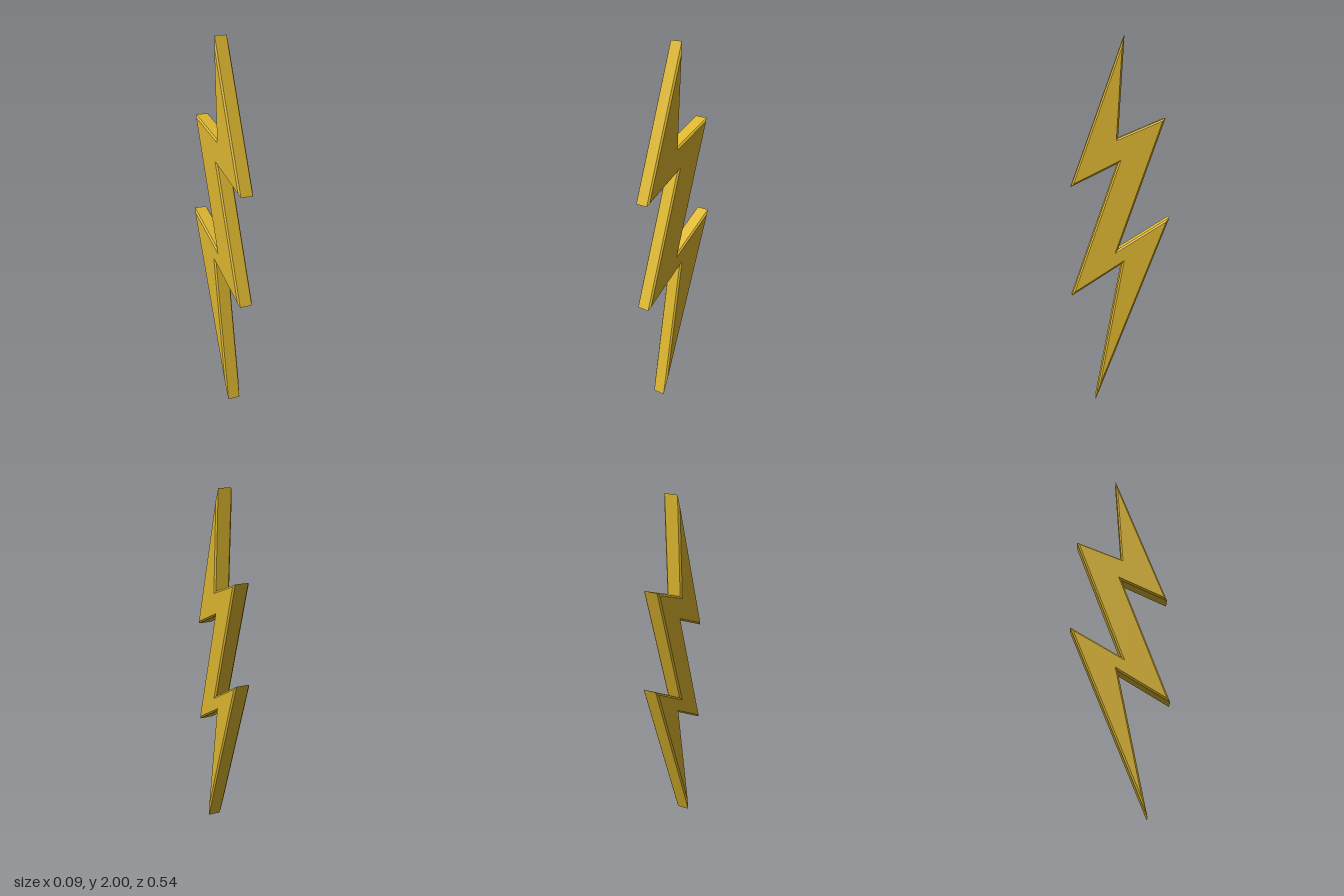
import * as THREE from 'three';

// Bolt outline, counter-clockwise as seen from +x: [-z, y]
const OUTLINE = [
  [0.021, 2], [-0.268, 1.2], [-0.013, 1.325], [-0.268, 0.6], [0.008, 0.775],
  [-0.14, 0], [0.268, 1.027], [-0.013, 0.855], [0.242, 1.567], [-0.013, 1.46],
].map(([u, v]) => new THREE.Vector2(u, v));

const BEVEL = 0.009;        // width of the chamfer on the flat sides
const RIM_X = 0.035;        // half thickness at the outline
const FACE_X = 0.043;       // half thickness at the flat sides

// Shrink the outline by a constant distance with full mitred corners
function inset(points, distance) {
  const n = points.length;
  const normal = (a, b) => new THREE.Vector2(a.y - b.y, b.x - a.x).normalize();
  return points.map((p, i) => {
    const n1 = normal(points[(i + n - 1) % n], p);
    const n2 = normal(p, points[(i + 1) % n]);
    const k = distance / (1 + n1.dot(n2));
    return p.clone().addScaledVector(n1.add(n2), k);
  });
}

function boltGeometry() {
  const inner = inset(OUTLINE, BEVEL);
  const ring = (points, x) => points.map((p) => [x, p.y, -p.x]);
  const rings = [
    ring(inner, FACE_X), ring(OUTLINE, RIM_X),
    ring(OUTLINE, -RIM_X), ring(inner, -FACE_X),
  ];
  const positions = [];
  const triangle = (a, b, c) => positions.push(...a, ...b, ...c);

  // Chamfer, rim and opposite chamfer
  for (let k = 0; k < 3; k++) {
    const a = rings[k], b = rings[k + 1];
    for (let i = 0; i < a.length; i++) {
      const j = (i + 1) % a.length;
      triangle(a[j], a[i], b[i]);
      triangle(a[j], b[i], b[j]);
    }
  }

  // Flat sides
  for (const [a, b, c] of THREE.ShapeUtils.triangulateShape(inner, [])) {
    triangle(rings[0][a], rings[0][b], rings[0][c]);
    triangle(rings[3][c], rings[3][b], rings[3][a]);
  }

  const geometry = new THREE.BufferGeometry();
  geometry.setAttribute('position', new THREE.Float32BufferAttribute(positions, 3));
  geometry.computeVertexNormals();
  return geometry;
}

export function createModel() {
  const gold = new THREE.MeshStandardMaterial({ color: 0xdcb62f });
  gold.name = 'gold';

  const bolt = new THREE.Mesh(boltGeometry(), gold);
  bolt.name = 'lightningBolt';

  const group = new THREE.Group();
  group.name = 'lightningBoltModel';
  group.add(bolt);
  return group;
}
